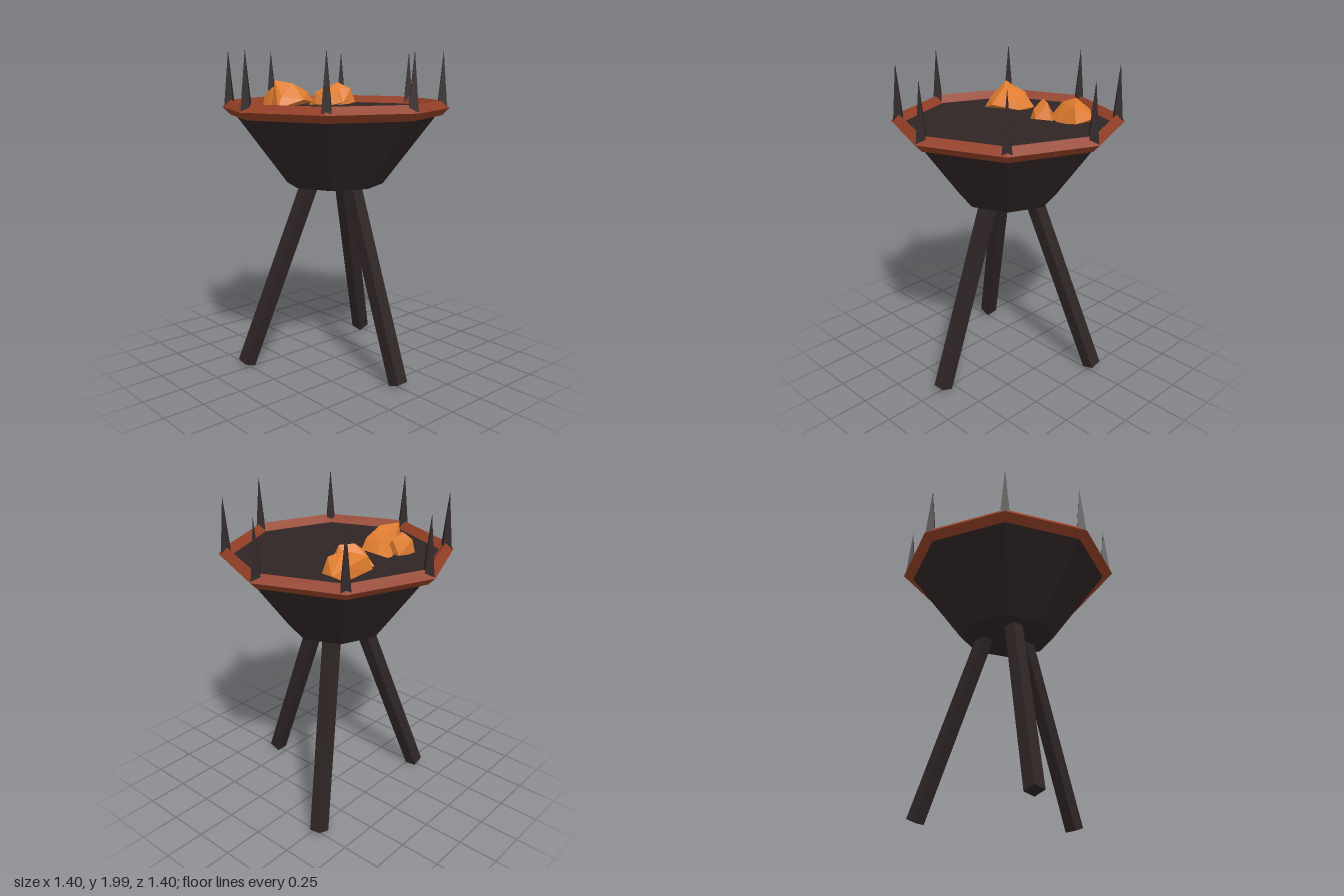
import * as THREE from 'three';
import { ConvexGeometry } from 'three/addons/geometries/ConvexGeometry.js';

const RIM_Y = 1.65;
const RIM_R = 0.655;

function makeMaterial(name, color) {
  const m = new THREE.MeshStandardMaterial({ color, flatShading: true });
  m.name = name;
  return m;
}

export function createModel() {
  const iron = makeMaterial('dark iron', 0x2f2525);
  const rust = makeMaterial('rusty red', 0x933f26);
  const ember = makeMaterial('ember orange', 0xe07d30);
  const model = new THREE.Group();
  model.name = 'brazier';

  const add = (name, geometry, material, parent = model) => {
    const mesh = new THREE.Mesh(geometry, material);
    mesh.name = name;
    parent.add(mesh);
    return mesh;
  };

  // Eight-sided bowl, closed at the top by the coal bed
  add('bowl', new THREE.CylinderGeometry(RIM_R, 0.3, 0.47, 8), iron).position.y = RIM_Y - 0.235;

  // Rim with a diamond cross-section
  const rim = add('rim', new THREE.TorusGeometry(RIM_R, 0.045, 4, 8), rust);
  rim.rotation.x = Math.PI / 2;
  rim.position.y = RIM_Y;

  // Four-sided spike on every corner of the rim
  const spikes = new THREE.Group();
  spikes.name = 'spikes';
  model.add(spikes);
  const spikeGeometry = new THREE.ConeGeometry(0.04, 0.345, 4);
  for (let i = 0; i < 8; i++) {
    const a = (i * Math.PI) / 4;
    add('spike', spikeGeometry, iron, spikes)
      .position.set(RIM_R * Math.cos(a), RIM_Y + 0.1725, RIM_R * Math.sin(a));
  }

  // Three splayed square legs
  const up = new THREE.Vector3(0, 1, 0);
  for (let i = 0; i < 3; i++) {
    const a = (i * Math.PI * 2) / 3;
    const foot = new THREE.Vector3(0.578 * Math.cos(a), 0.025, 0.578 * Math.sin(a));
    const top = new THREE.Vector3(0.12 * Math.cos(a), 1.29, 0.12 * Math.sin(a));
    const axis = top.clone().sub(foot);
    const leg = add('leg', new THREE.BoxGeometry(0.08, axis.length(), 0.08), iron);
    leg.position.copy(foot).add(top).multiplyScalar(0.5);
    leg.quaternion.setFromUnitVectors(up, axis.normalize());
  }

  // Angular glowing coals, each the hull of a few corners [x, y, z]
  const coals = [
    [ // back coal
      [-0.37, 1.64, -0.34], [-0.31, 1.68, -0.4], [-0.205, 1.66, -0.36], [-0.185, 1.64, -0.22],
      [-0.24, 1.64, -0.11], [-0.355, 1.64, -0.1], [-0.36, 1.72, -0.33], [-0.29, 1.79, -0.28],
      [-0.22, 1.75, -0.33], [-0.34, 1.73, -0.13], [-0.27, 1.75, -0.2]
    ],
    [ // middle coal
      [-0.34, 1.64, -0.06], [-0.24, 1.66, -0.04], [-0.13, 1.65, -0.06], [-0.09, 1.67, -0.14],
      [-0.16, 1.66, -0.21], [-0.25, 1.64, -0.16], [-0.21, 1.765, -0.09], [-0.16, 1.765, -0.17],
      [-0.13, 1.72, -0.09], [-0.25, 1.73, -0.06]
    ],
    [ // front coal
      [-0.31, 1.64, 0.12], [-0.27, 1.68, 0.04], [-0.145, 1.68, 0.05], [-0.06, 1.7, 0.2],
      [-0.13, 1.65, 0.34], [-0.25, 1.64, 0.3], [-0.25, 1.815, 0.27], [-0.16, 1.795, 0.2],
      [-0.25, 1.75, 0.09], [-0.15, 1.74, 0.09], [-0.14, 1.72, 0.3]
    ],
    [ // small side coal
      [-0.36, 1.64, 0.29], [-0.345, 1.66, 0.15], [-0.28, 1.64, 0.31], [-0.24, 1.66, 0.15],
      [-0.35, 1.73, 0.27], [-0.31, 1.77, 0.24], [-0.26, 1.76, 0.28], [-0.3, 1.75, 0.14]
    ]
  ];
  for (const corners of coals) {
    add('coal', new ConvexGeometry(corners.map((c) => new THREE.Vector3(...c))), ember);
  }

  return model;
}
